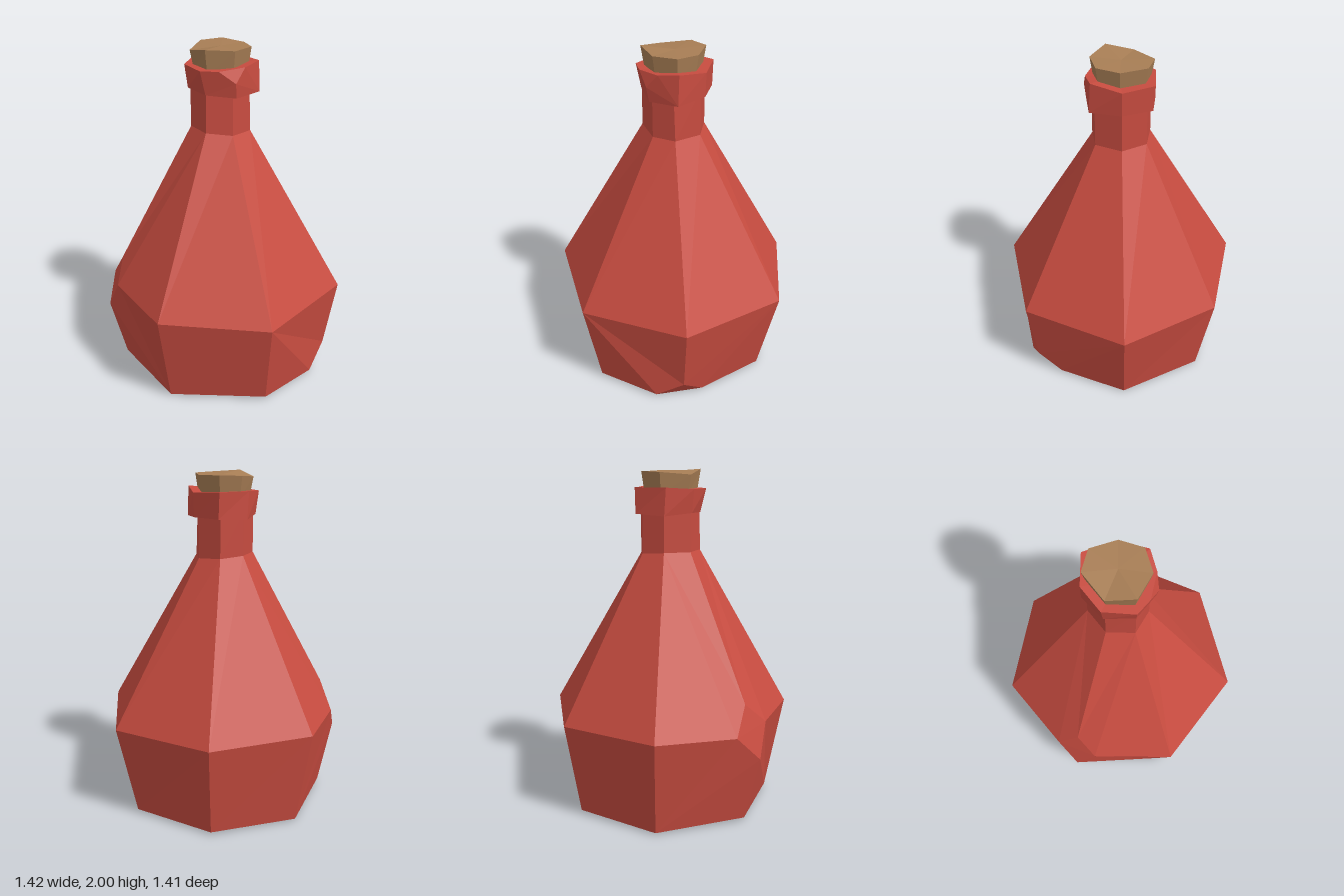
import * as THREE from 'three';

// Flat-shaded mesh from polygons; each is fanned from its first corner
function facets(name, polygons, material) {
  const positions = [];
  for (const p of polygons) {
    for (let i = 1; i < p.length - 1; i++) positions.push(...p[0], ...p[i], ...p[i + 1]);
  }
  const geometry = new THREE.BufferGeometry();
  geometry.setAttribute('position', new THREE.Float32BufferAttribute(positions, 3));
  geometry.computeVertexNormals();
  const mesh = new THREE.Mesh(geometry, material);
  mesh.name = name;
  return mesh;
}

// Side faces between two rings that run back, +x, front, -x
function band(low, up, skip = []) {
  const faces = [];
  for (let i = 0; i < low.length; i++) {
    const j = (i + 1) % low.length;
    if (!skip.includes(i)) faces.push([low[j], low[i], up[i], up[j]]);
  }
  return faces;
}

// Fan around a ring's middle, facing up or down
function cap(ring, y, up) {
  const c = [0, y, 0];
  for (const p of ring) {
    c[0] += p[0] / ring.length;
    c[2] += p[2] / ring.length;
  }
  return ring.map((p, i) => {
    const q = ring[(i + 1) % ring.length];
    return up ? [c, q, p] : [c, p, q];
  });
}

export function createModel() {
  const redGlass = new THREE.MeshStandardMaterial({ color: 0xc84c40 });
  redGlass.name = 'red glass';
  const corkBrown = new THREE.MeshStandardMaterial({ color: 0xa87e55 });
  corkBrown.name = 'cork brown';
  for (const m of [redGlass, corkBrown]) m.flatShading = true;

  // Seven-sided rings of the bottle
  const base = [
    [-0.02, 0.01, -0.585], [0.49, 0.015, -0.36], [0.62, 0.02, 0.17], [0.25, 0.01, 0.60],
    [-0.28, 0.02, 0.59], [-0.61, 0.01, 0.16], [-0.49, 0.015, -0.35],
  ];
  const shoulder = [
    [-0.02, 0.555, -0.71], [0.57, 0.555, -0.43], [0.71, 0.545, 0.21], [0.30, 0.575, 0.70],
    [-0.31, 0.58, 0.68], [-0.71, 0.57, 0.19], [-0.57, 0.56, -0.41],
  ];
  const neckLow = [
    [-0.01, 1.51, -0.14], [0.14, 1.51, -0.07], [0.16, 1.51, 0.07], [0.08, 1.53, 0.20],
    [-0.08, 1.53, 0.19], [-0.175, 1.53, 0.06], [-0.15, 1.52, -0.08],
  ];
  const neckTop = [
    [-0.01, 1.78, -0.14], [0.14, 1.78, -0.06], [0.16, 1.78, 0.07], [0.08, 1.78, 0.195],
    [-0.08, 1.78, 0.19], [-0.175, 1.78, 0.06], [-0.15, 1.78, -0.08],
  ];

  // Chip in the front shoulder corner
  const cLeft = [-0.41, 0.55, 0.57], cRight = [-0.18, 0.59, 0.68];
  const cTop = [-0.28, 0.71, 0.58], cLow = [-0.30, 0.40, 0.68];
  // Chip in the rear base corner
  const bFront = [0.58, 0.015, -0.22], bBack = [0.38, 0.015, -0.42], bTop = [0.52, 0.13, -0.38];

  const body = [
    ...band(base, shoulder, [0, 1, 3, 4]),
    [shoulder[0], shoulder[1], bTop, bBack, base[0]],
    [shoulder[2], base[2], bFront, bTop, shoulder[1]],
    [bFront, bBack, bTop],
    [base[3], shoulder[3], cRight, cLow, base[4]],
    [base[5], base[4], cLow, cLeft, shoulder[5]],
    ...band(shoulder, neckLow, [3, 4]),
    [neckLow[3], neckLow[4], cTop, cRight, shoulder[3]],
    [neckLow[5], shoulder[5], cLeft, cTop, neckLow[4]],
    [cLeft, cLow, cRight, cTop],
    ...cap([base[0], bBack, bFront, ...base.slice(2)], 0, false),
  ];

  // Collar, with one chipped upper corner
  const collarLow = [
    [-0.01, 1.75, -0.17], [0.17, 1.74, -0.11], [0.19, 1.735, 0.07], [0.08, 1.75, 0.20],
    [-0.09, 1.755, 0.20], [-0.20, 1.74, 0.07], [-0.18, 1.75, -0.11],
  ];
  const collarTop = [
    [-0.01, 1.89, -0.175], [0.16, 1.915, -0.11], [0.20, 1.90, 0.07], [0.08, 1.89, 0.235],
    [-0.10, 1.89, 0.215], [-0.20, 1.90, 0.08], [-0.19, 1.90, -0.11],
  ];
  const kBack = [0.19, 1.90, 0.01], kFront = [0.15, 1.89, 0.16], kLow = [0.20, 1.82, 0.08];
  const collar = [
    ...band(collarLow, collarTop, [1, 2]),
    [collarLow[1], collarTop[1], kBack, kLow, collarLow[2]],
    [collarLow[3], collarLow[2], kLow, kFront, collarTop[3]],
    [kFront, kLow, kBack],
    ...cap(collarLow, 1.75, false),
    ...cap([...collarTop.slice(0, 2), kBack, kFront, ...collarTop.slice(3)], 1.89, true),
  ];

  // Cork, widening a little towards its uneven top
  const corkTop = [
    [0, 1.985, -0.13], [0.13, 1.99, -0.08], [0.165, 1.99, 0.06], [0.08, 2.0, 0.20],
    [-0.08, 1.97, 0.19], [-0.19, 1.985, 0.04], [-0.15, 1.99, -0.085],
  ];
  const corkLow = corkTop.map(([x, , z]) => [x * 0.88, 1.86, 0.03 + (z - 0.03) * 0.88]);

  const group = new THREE.Group();
  group.name = 'corkedBottle';
  group.add(
    facets('body', body, redGlass),
    facets('neck', band(neckLow, neckTop), redGlass),
    facets('collar', collar, redGlass),
    facets('cork', [...band(corkLow, corkTop), ...cap(corkTop, 1.985, true), ...cap(corkLow, 1.86, false)], corkBrown),
  );
  return group;
}
